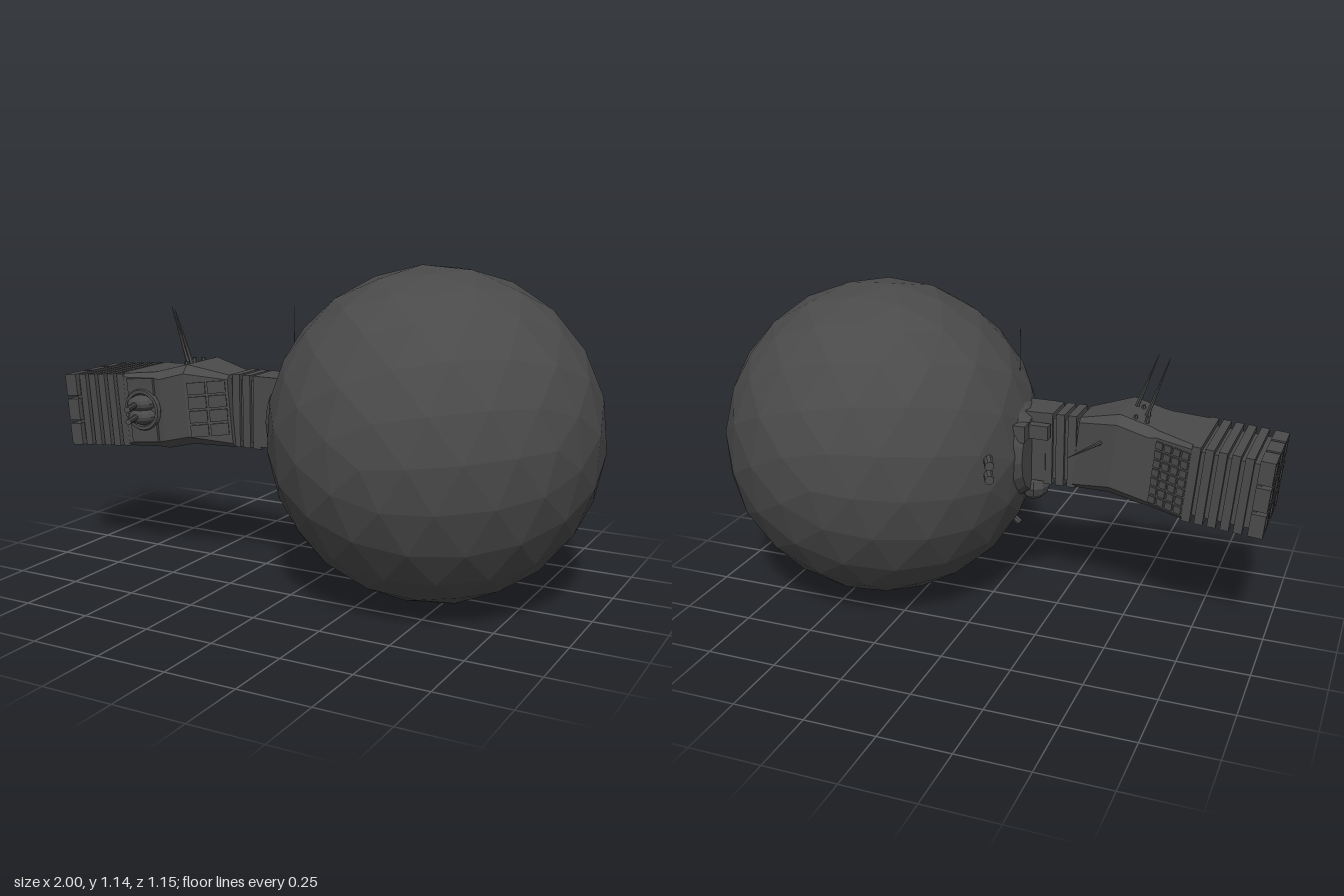
import * as THREE from 'three';

const dark = new THREE.MeshStandardMaterial({ color: 0x4a4a4a, flatShading: true });
const light = new THREE.MeshStandardMaterial({ color: 0xcccccc });

function add(parent, name, geometry, x = 0, y = 0, z = 0, material = dark) {
  const mesh = new THREE.Mesh(geometry, material);
  mesh.name = name;
  mesh.position.set(x, y, z);
  parent.add(mesh);
  return mesh;
}

// box given by its limits
function block(parent, name, x0, x1, y0, y1, z0, z1, material) {
  return add(parent, name, new THREE.BoxGeometry(x1 - x0, y1 - y0, z1 - z0),
    (x0 + x1) / 2, (y0 + y1) / 2, (z0 + z1) / 2, material);
}

// tapered rod between two points
function rod(parent, name, a, b, r0, r1 = r0, sides = 8) {
  const p = new THREE.Vector3(...a), q = new THREE.Vector3(...b);
  const d = q.clone().sub(p);
  const mesh = add(parent, name, new THREE.CylinderGeometry(r1, r0, d.length(), sides));
  mesh.position.copy(p).add(q).multiplyScalar(0.5);
  mesh.quaternion.setFromUnitVectors(new THREE.Vector3(0, 1, 0), d.normalize());
}

// hull skinned over chamfered sections [x, y0, y1, z0, z1, chamfer]
function loft(sections) {
  const pos = [], index = [], n = 8;
  for (const [x, y0, y1, z0, z1, c] of sections) {
    const ring = [[y0, z0 + c], [y0, z1 - c], [y0 + c, z1], [y1 - c, z1],
      [y1, z1 - c], [y1, z0 + c], [y1 - c, z0], [y0 + c, z0]];
    ring.forEach(([y, z]) => pos.push(x, y, z));
  }
  for (let s = 0; s < sections.length - 1; s++) {
    for (let i = 0; i < n; i++) {
      const a = s * n + i, b = s * n + (i + 1) % n;
      index.push(a, b + n, b, a, a + n, b + n);
    }
  }
  const last = (sections.length - 1) * n;
  for (let i = 1; i < n - 1; i++) {
    index.push(0, i, i + 1, last, last + i + 1, last + i);
  }
  const g = new THREE.BufferGeometry();
  g.setAttribute('position', new THREE.Float32BufferAttribute(pos, 3));
  g.setIndex(index);
  const flat = g.toNonIndexed();
  flat.computeVertexNormals();
  return flat;
}

// grid of raised plates on an upright wall running from (x0, z0) to (x1, z1)
function plates(parent, name, x0, z0, x1, z1, y0, y1, cols, rows) {
  const grid = new THREE.Group();
  grid.name = name;
  grid.position.set(x0, 0, z0);
  grid.rotation.y = -Math.atan2(z1 - z0, x1 - x0);
  const w = Math.hypot(x1 - x0, z1 - z0) / cols, h = (y1 - y0) / rows, gap = 0.004;
  for (let i = 0; i < cols; i++) {
    for (let j = 0; j < rows; j++) {
      block(grid, 'plate', i * w + gap, (i + 1) * w - gap,
        y0 + j * h + gap, y0 + (j + 1) * h - gap, -0.007, 0.007);
    }
  }
  parent.add(grid);
}

export function createModel() {
  const model = new THREE.Group();
  model.name = 'sphereShip';

  // large faceted sphere with its poles at front and back
  const ball = new THREE.IcosahedronGeometry(0.575, 3);
  ball.rotateX(Math.atan(2 / (1 + Math.sqrt(5))));
  ball.rotateZ(Math.PI / 10 + 0.1);
  add(model, 'sphereHull', ball, 0.427, 0.58, 0);

  // ribbed neck and collar
  block(model, 'neckCore', -0.33, -0.08, 0.5, 0.725, 0, 0.11);
  for (let i = 0; i < 3; i++) {
    const x = -0.31 + i * 0.043;
    block(model, 'neckRib', x, x + 0.03, 0.48, 0.745, -0.012, 0.122);
  }
  block(model, 'neckSocket', -0.2, -0.1, 0.49, 0.745, -0.015, 0.125);
  const collar = add(model, 'collar', new THREE.CylinderGeometry(0.14, 0.18, 0.05, 16), -0.125, 0.59, 0.02);
  collar.rotation.z = Math.PI / 2;
  block(model, 'collarBox', -0.22, -0.12, 0.66, 0.71, -0.055, -0.02);
  block(model, 'collarBox', -0.155, -0.11, 0.66, 0.72, -0.11, -0.06);
  const pod = add(model, 'collarPod', new THREE.SphereGeometry(0.055, 10, 6), -0.145, 0.455, 0.04);
  pod.scale.set(1, 1, 1.3);
  rod(model, 'lowerPeg', [-0.05, 0.34, 0.02], [-0.095, 0.3, 0.02], 0.012);

  // twin guns on the back of the sphere
  for (const y of [0.595, 0.645]) {
    rod(model, 'sphereGun', [-0.06, y, -0.22], [-0.105, y, -0.315], 0.016);
  }
  rod(model, 'sphereNeedle', [-0.06, 0.82, 0.11], [-0.06, 1, 0.11], 0.002, 0.001, 5);

  // slightly tilted hull; local origin is where it meets the neck
  const hull = new THREE.Group();
  hull.name = 'hull';
  hull.position.set(-0.3, 0.61, 0);
  hull.rotation.z = 0.09;
  model.add(hull);

  add(hull, 'mainHull', loft([
    [-0.43, -0.117, 0.153, -0.1, 0.21, 0.012],
    [-0.29, -0.122, 0.155, -0.05, 0.205, 0.02],
    [-0.26, -0.127, 0.16, -0.05, 0.21, 0.03],
    [-0.15, -0.11, 0.18, -0.05, 0.21, 0.03],
    [-0.01, -0.13, 0.132, -0.015, 0.14, 0.015],
  ]));

  // plate grids on the front and back walls
  plates(hull, 'frontPlates', -0.145, 0.207, -0.015, 0.142, -0.085, 0.12, 2, 4);
  plates(hull, 'backPlates', -0.42, -0.098, -0.29, -0.05, -0.1, 0.13, 4, 7);
  block(hull, 'turretBase', -0.4, -0.285, -0.1, 0.135, 0.2, 0.216);

  // ribbed engine block
  block(hull, 'engineCore', -0.66, -0.4, -0.097, 0.133, -0.08, 0.19);
  for (let i = 0; i < 5; i++) {
    const x = -0.625 + i * 0.044;
    block(hull, 'engineRib', x, x + 0.029, -0.117, 0.153, -0.1, 0.21);
  }

  // three by three engine outlets: square frames around pale plates
  const w = 0.094, h = 0.082;
  const frame = new THREE.Shape([[-1, -1], [1, -1], [1, 1], [-1, 1]]
    .map(([u, v]) => new THREE.Vector2(u * w / 2, v * h / 2)));
  frame.holes.push(new THREE.Path([[-1, -1], [-1, 1], [1, 1], [1, -1]]
    .map(([u, v]) => new THREE.Vector2(u * 0.026, v * 0.023))));
  const outlet = new THREE.ExtrudeGeometry(frame, { depth: 0.05, bevelEnabled: false });
  outlet.rotateY(-Math.PI / 2);
  for (let i = -1; i <= 1; i++) {
    for (let j = -1; j <= 1; j++) {
      const y = 0.018 + j * 0.094, z = 0.055 + i * 0.108;
      add(hull, 'engineOutlet', outlet, -0.644, y, z);
      block(hull, 'outletGlow', -0.688, -0.66, y - 0.024, y + 0.024, z - 0.027, z + 0.027, light);
    }
  }

  // side turret with ring, split dome and twin barrels
  const turret = new THREE.Group();
  turret.name = 'turret';
  turret.position.set(-0.342, 0.02, 0.212);
  hull.add(turret);
  add(turret, 'turretRing', new THREE.TorusGeometry(0.068, 0.012, 6, 20));
  for (const side of [-1, 1]) {
    const dome = add(turret, 'turretDome', new THREE.SphereGeometry(0.062, 10, 8), 0, side * 0.024, 0);
    dome.scale.set(1, 0.5, 0.7);
    rod(turret, 'turretBarrel', [-0.015, side * 0.022, 0.02], [0.03, side * 0.022, 0.13], 0.011);
  }

  // roof studs and antennas
  for (const [x, z] of [[-0.24, 0], [-0.2, 0], [-0.23, 0.06], [-0.2, 0.11]]) {
    add(hull, 'roofStud', new THREE.CylinderGeometry(0.007, 0.009, 0.02, 6), x, 0.172, z);
  }
  rod(model, 'roofAntenna', [-0.535, 0.74, 0.06], [-0.61, 0.965, 0.06], 0.009, 0.001, 6);
  rod(model, 'roofAntenna', [-0.485, 0.75, 0.11], [-0.56, 0.96, 0.11], 0.009, 0.001, 6);
  rod(model, 'backAntenna', [-0.405, 0.67, -0.03], [-0.355, 0.69, -0.26], 0.008, 0.001, 6);

  return model;
}
